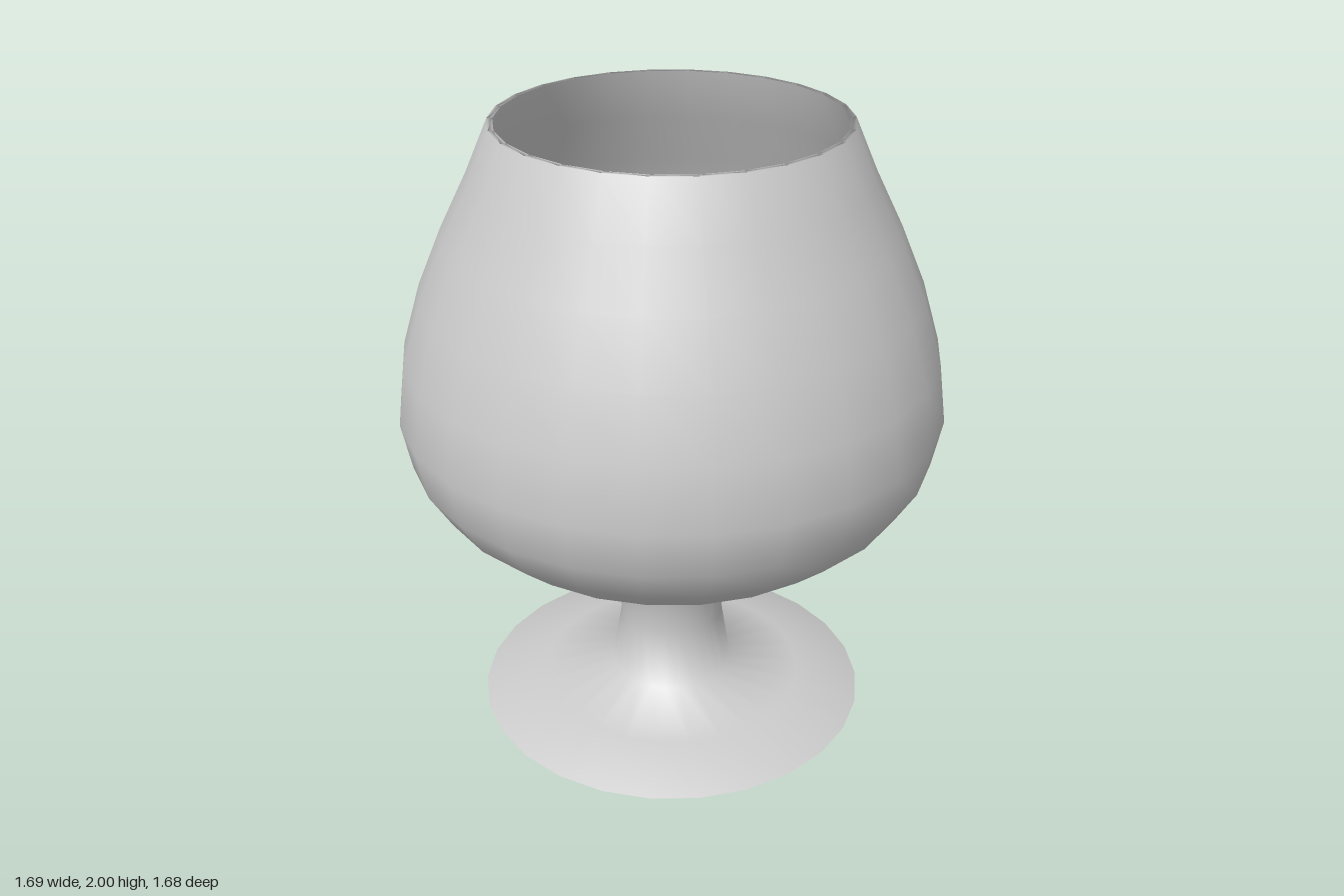
import * as THREE from 'three';

const SIDES = 26;
const material = new THREE.MeshStandardMaterial({ color: 0xcccccc });
const vec = ([x, y]) => new THREE.Vector2(x, y);

// Revolve a profile, with a vertex lying on the x axis
function turned(name, points) {
  const mesh = new THREE.Mesh(new THREE.LatheGeometry(points, SIDES, Math.PI / 2), material);
  mesh.name = name;
  return mesh;
}

// Shift a bottom-to-top profile inwards along its normals
function inset(points, distance) {
  return points.map((p, i) => {
    const a = points[Math.max(i - 1, 0)];
    const b = points[Math.min(i + 1, points.length - 1)];
    const t = b.clone().sub(a).normalize();
    return new THREE.Vector2(p.x - t.y * distance, p.y + t.x * distance);
  });
}

export function createModel() {
  const group = new THREE.Group();
  group.name = 'brandyGlass';

  // Foot and stem, from the underside up
  const foot = [
    [0, 0], [0.5, 0], [0.59, 0.01], [0.635, 0.03], [0.43, 0.082], [0.2, 0.123],
    [0.168, 0.32], [0.185, 0.515],
  ].map(vec);

  // Outside of the bowl, up to the rim
  const bowl = [
    [0.265, 0.58], [0.385, 0.632], [0.52, 0.688], [0.635, 0.752], [0.745, 0.85],
    [0.815, 0.965], [0.845, 1.115], [0.82, 1.3], [0.762, 1.49], [0.685, 1.67],
    [0.6, 1.84], [0.53, 2],
  ].map(vec);

  // Inner wall, ending level with the rim
  const inner = inset(bowl, 0.02);
  inner[inner.length - 1].set(0.513, 2);
  const floor = new THREE.Vector2(0, 0.575);
  group.add(turned('glass', [...foot, ...bowl, ...inner.slice().reverse(), floor]));

  // Drink filling the bowl to a flat surface
  const level = 1.41;
  const drink = inset(bowl, 0.025).filter((p) => p.y < level - 0.02);
  group.add(turned('drink', [
    new THREE.Vector2(0, 0.585), ...drink,
    new THREE.Vector2(0.76, level), new THREE.Vector2(0, level),
  ]));

  return group;
}
